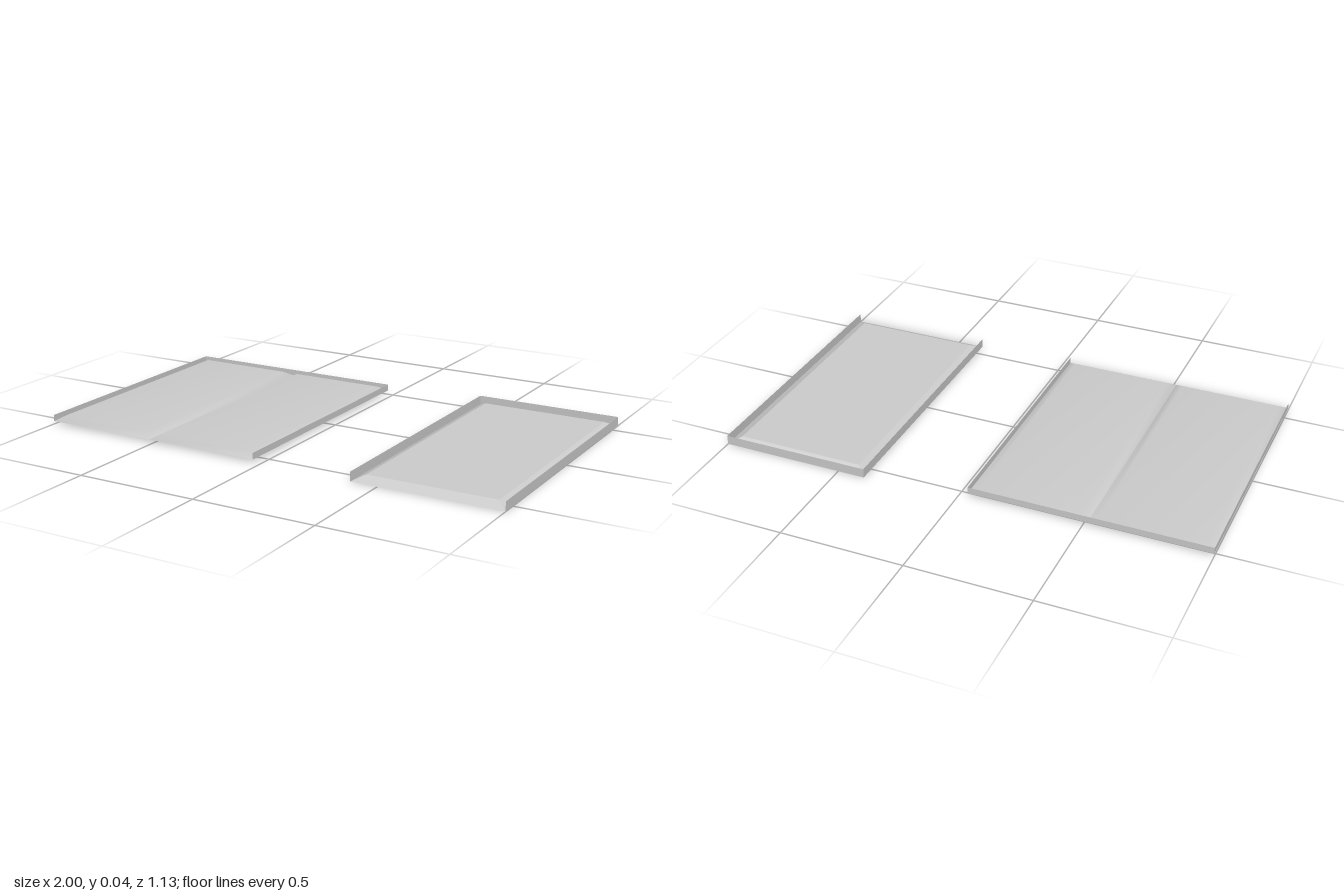
import * as THREE from 'three';

const grey = new THREE.MeshStandardMaterial({ color: 0xcccccc, side: THREE.DoubleSide });
grey.name = 'light grey';

// Raised panel: flat top with four bevels sloping down to the outer edge
function panel(name, x0, x1, z0, z1, yEdge, yTop, inset, smooth) {
  const ring = (d, y) => [
    x0 + d, y, z1 - d, x1 - d, y, z1 - d, x1 - d, y, z0 + d, x0 + d, y, z0 + d,
  ];
  const index = [4, 5, 6, 4, 6, 7];
  for (let i = 0; i < 4; i++) {
    const j = (i + 1) % 4;
    index.push(i, j, 4 + j, i, 4 + j, 4 + i);
  }
  let geo = new THREE.BufferGeometry();
  geo.setAttribute('position', new THREE.Float32BufferAttribute([...ring(0, yEdge), ...ring(inset, yTop)], 3));
  geo.setIndex(index);
  if (!smooth) geo = geo.toNonIndexed();
  geo.computeVertexNormals();
  const mesh = new THREE.Mesh(geo, grey);
  mesh.name = name;
  return mesh;
}

// Thin upright wall, turned about y
function wall(name, length, y0, y1, x, z, turn) {
  const mesh = new THREE.Mesh(new THREE.PlaneGeometry(length, y1 - y0), grey);
  mesh.position.set(x, (y0 + y1) / 2, z);
  mesh.rotation.y = turn;
  mesh.name = name;
  return mesh;
}

// Left, right and back walls; the front stays open
function rim(x0, x1, z0, z1, y0, y1) {
  const zMid = (z0 + z1) / 2;
  return [
    wall('rightSideWall', z1 - z0, y0, y1, x0, zMid, -Math.PI / 2),
    wall('leftSideWall', z1 - z0, y0, y1, x1, zMid, Math.PI / 2),
    wall('backWall', x1 - x0, y0, y1, (x0 + x1) / 2, z0, Math.PI),
  ];
}

export function createModel() {
  const model = new THREE.Group();
  model.name = 'panelTrays';

  // Single tray with a crisp bevel
  const single = new THREE.Group();
  single.name = 'singleTray';
  single.add(
    panel('singlePanel', 0.388, 1, -0.563, 0.563, 0, 0.022, 0.043, false),
    ...rim(0.388, 1, -0.563, 0.563, 0, 0.038),
  );

  // Double tray: two softly bevelled panels meeting in a groove
  const pair = new THREE.Group();
  pair.name = 'doubleTray';
  const edges = [-1, -0.516, -0.033];
  for (let i = 0; i < 2; i++) {
    pair.add(panel(`doublePanel${i + 1}`, edges[i], edges[i + 1], -0.518, 0.563, 0.012, 0.033, 0.036, true));
  }
  pair.add(...rim(-1, -0.033, -0.518, 0.563, 0.012, 0.038));

  model.add(single, pair);
  return model;
}
